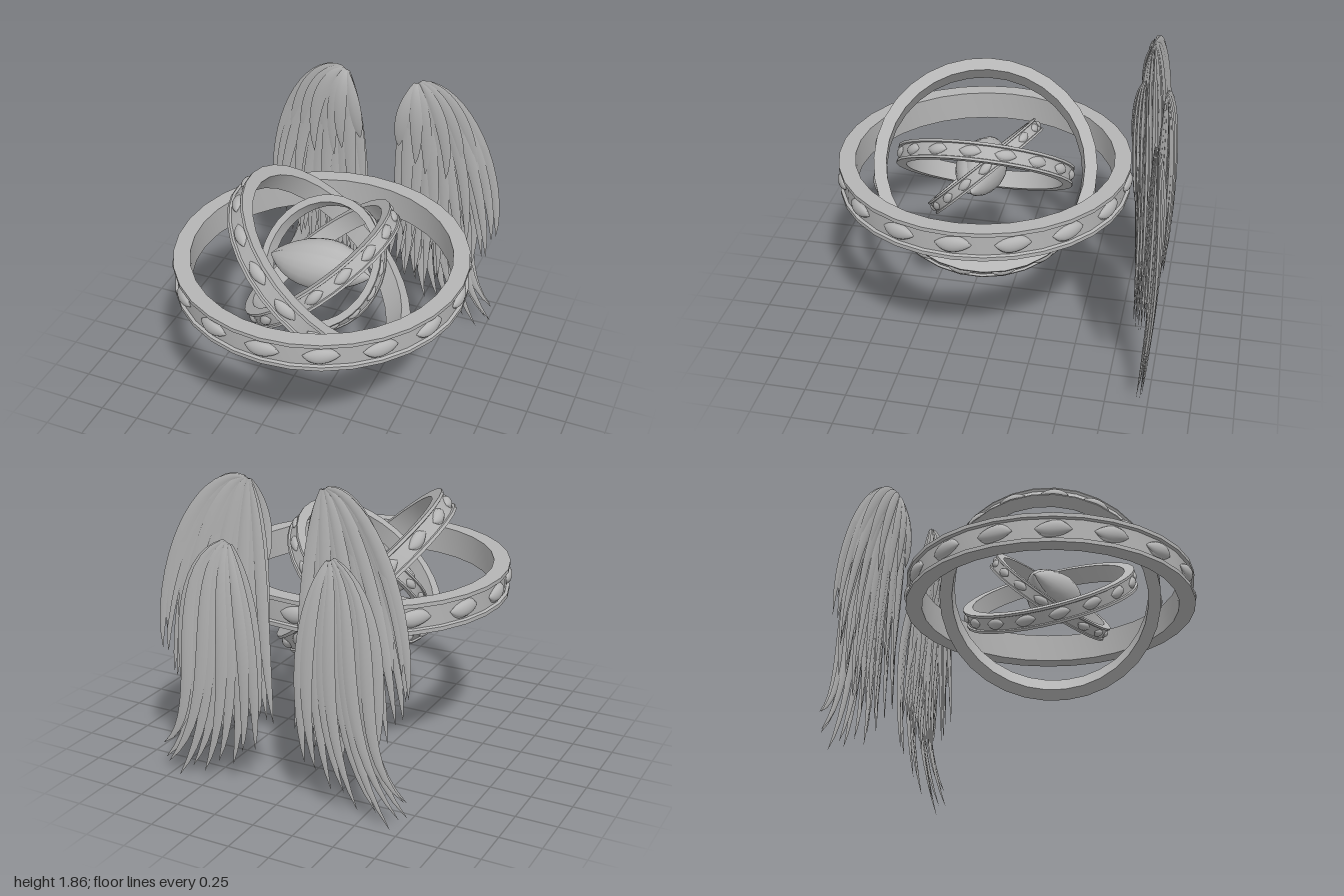
import * as THREE from 'three';
import { mergeGeometries, toCreasedNormals } from 'three/addons/utils/BufferGeometryUtils.js';

const stone = new THREE.MeshStandardMaterial({ color: 0xb4b4b4, side: THREE.DoubleSide });
stone.name = 'stone grey';
const CENTRE = new THREE.Vector3(0, 1.065, 0.115);

function part(name, geometry) {
  const mesh = new THREE.Mesh(geometry, stone);
  mesh.name = name;
  return mesh;
}

// Sphere with poles on x, pinched toward both ends into a slightly slanted almond
function almond(phiStart, phiLength, height, depth, forward) {
  const g = new THREE.SphereGeometry(1, 16, 14, phiStart, phiLength);
  g.rotateZ(-Math.PI / 2);
  const p = g.attributes.position;
  for (let i = 0; i < p.count; i++) {
    const x = p.getX(i);
    const pinch = Math.pow(Math.max(0, 1 - x * x), 0.4);
    const y = p.getY(i) * pinch * height;
    p.setXYZ(i, x + 0.16 * y * pinch, y, p.getZ(i) * pinch * depth + forward * pinch);
  }
  g.computeVertexNormals();
  return g;
}

// Lidded eye with the eyeball bulging out toward +z
const eyeGeometry = mergeGeometries([
  almond(Math.PI / 2 + 0.6, Math.PI * 2 - 1.2, 1, 0.85, -0.1),
  almond(0, Math.PI * 2, 0.8, 0.75, 0.25),
]);

// Flanged band, with the outer face recessed between two rims
const ringProfile = [
  [0.775, -0.09], [0.874, -0.09], [0.874, -0.066], [0.856, -0.06],
  [0.856, 0.06], [0.874, 0.066], [0.874, 0.09], [0.775, 0.09], [0.775, -0.09],
].map(([x, y]) => new THREE.Vector2(x, y));
const ringGeometry = toCreasedNormals(new THREE.LatheGeometry(ringProfile, 32), 0.5);

function eyedRing(name, scale, axis) {
  const ring = new THREE.Group();
  ring.name = name;
  ring.add(part(name + 'Band', ringGeometry));
  for (let i = 0; i < 16; i++) {
    const a = (i / 16) * Math.PI * 2;
    const eye = part(name + 'Eye', eyeGeometry);
    eye.scale.set(0.105, 0.06, 0.042);
    eye.position.set(Math.sin(a) * 0.844, 0, Math.cos(a) * 0.844);
    eye.rotation.y = a;
    ring.add(eye);
  }
  ring.scale.setScalar(scale);
  ring.position.copy(CENTRE);
  ring.quaternion.setFromUnitVectors(new THREE.Vector3(0, 1, 0), new THREE.Vector3(...axis).normalize());
  return ring;
}

// Pointed blade with a diamond cross-section, swept along a curve
function feather(curve, halfWidth, halfThick) {
  const rows = 16, pos = [], index = [];
  for (let j = 0; j <= rows; j++) {
    const t = j / rows;
    const p = curve.getPoint(t), d = curve.getTangent(t);
    const len = Math.hypot(d.x, d.y) || 1;
    const sx = -d.y / len, sy = d.x / len;
    const grow = 0.22 + 0.78 * Math.sin(Math.min(1, t / 0.6) * Math.PI / 2);
    const w = halfWidth * grow * Math.pow(1 - t ** 4, 0.8) + 0.0005;
    const h = halfThick * (w / halfWidth);
    pos.push(p.x + sx * w, p.y + sy * w, p.z, p.x, p.y, p.z + h,
      p.x - sx * w, p.y - sy * w, p.z, p.x, p.y, p.z - h);
    if (j === rows) break;
    for (let k = 0; k < 4; k++) {
      const a = j * 4 + k, b = j * 4 + (k + 1) % 4;
      index.push(a, b, b + 4, a, b + 4, a + 4);
    }
  }
  const g = new THREE.BufferGeometry();
  g.setAttribute('position', new THREE.Float32BufferAttribute(pos, 3));
  g.setIndex(index);
  return toCreasedNormals(g, 0.7);
}

// Fan of feathers, from the outermost (s = 0) to the innermost (s = 1)
function featherLayer(o, side) {
  const tips = new THREE.CatmullRomCurve3(o.tips.map(([x, y]) => new THREE.Vector3(x, y, 0)));
  const mix = (pair, s, z) => new THREE.Vector3(
    side * THREE.MathUtils.lerp(pair[0][0], pair[1][0], s),
    THREE.MathUtils.lerp(pair[0][1], pair[1][1], s), z);
  const blades = [];
  for (let i = 0; i < o.count; i++) {
    const s = i / (o.count - 1);
    // Neighbours overlap in depth, and the outer edge sweeps backward
    const depth = 0.014 * (i % 3 - 1) - o.sweep * (1 - s) ** 2;
    const tip = tips.getPoint(s);
    const lift = i % 2 ? 0.05 : 0;
    blades.push(feather(new THREE.CubicBezierCurve3(
      mix(o.root, s, o.z[0] + depth * 0.2),
      mix(o.upper, s, o.z[1] + depth),
      mix(o.lower, s, o.z[2] + depth),
      new THREE.Vector3(side * tip.x, tip.y + lift, o.z[3] + depth),
    ), o.width, 0.013));
  }
  return mergeGeometries(blades);
}

const upperRoot = [[0.26, 1.85], [0.22, 1.835]];
const lowerRoot = [[0.34, 1.5], [0.3, 1.48]];
const layers = {
  upperWingLongFeathers: {
    count: 13, width: 0.042, root: upperRoot, z: [-0.83, -0.83, -0.88, -0.88], sweep: 0.03,
    upper: [[0.52, 1.87], [0.14, 1.6]], lower: [[0.79, 1.27], [0.14, 1.0]],
    tips: [[0.78, 0.79], [0.7, 0.57], [0.5, 0.36], [0.25, 0.3], [0.07, 0.45]],
  },
  upperWingMiddleFeathers: {
    count: 10, width: 0.044, root: upperRoot, z: [-0.825, -0.79, -0.85, -0.86], sweep: 0.05,
    upper: [[0.48, 1.87], [0.15, 1.65]], lower: [[0.73, 1.38], [0.14, 1.15]],
    tips: [[0.74, 0.92], [0.52, 0.62], [0.3, 0.58], [0.11, 0.75]],
  },
  upperWingCoverts: {
    count: 8, width: 0.044, root: upperRoot, z: [-0.82, -0.77, -0.79, -0.82], sweep: 0.05,
    upper: [[0.43, 1.87], [0.16, 1.7]], lower: [[0.6, 1.55], [0.14, 1.5]],
    tips: [[0.63, 1.27], [0.42, 1.2], [0.27, 1.22], [0.13, 1.33]],
  },
  lowerWingLongFeathers: {
    count: 11, width: 0.042, root: lowerRoot, z: [-0.925, -0.985, -0.985, -0.95], sweep: 0,
    upper: [[0.72, 1.3], [0.17, 1.25]], lower: [[0.42, 0.46], [0.12, 0.75]],
    tips: [[0.78, 0.2], [0.79, 0.09], [0.69, 0.002], [0.5, 0.08], [0.32, 0.15], [0.16, 0.29]],
  },
  lowerWingShortFeathers: {
    count: 9, width: 0.044, root: lowerRoot, z: [-0.915, -0.92, -0.92, -0.92], sweep: 0.02,
    upper: [[0.64, 1.36], [0.2, 1.3]], lower: [[0.62, 0.8], [0.15, 0.9]],
    tips: [[0.62, 0.48], [0.48, 0.36], [0.3, 0.36], [0.15, 0.48]],
  },
};

export function createModel() {
  const model = new THREE.Group();
  model.name = 'wingedRings';

  // Nested rings, each a smaller tilted copy
  model.add(eyedRing('outerRing', 1, [0, 1, 0]));
  model.add(eyedRing('secondRing', 0.765, [0.65, 0.74, -0.19]));
  model.add(eyedRing('thirdRing', 0.61, [-0.64, 0.77, 0]));
  model.add(eyedRing('innerRing', 0.47, [-0.236, 0.687, 0.683]));

  // Large eye at the centre
  const eye = part('centralEye', eyeGeometry);
  eye.scale.set(0.32, 0.165, 0.155);
  eye.position.set(0, 1.065, 0.135);
  model.add(eye);

  // Two pairs of wings behind the rings
  for (const [name, side] of [['left', 1], ['right', -1]]) {
    const wings = new THREE.Group();
    wings.name = name + 'Wings';
    for (const key in layers) wings.add(part(key, featherLayer(layers[key], side)));
    model.add(wings);
  }
  return model;
}
